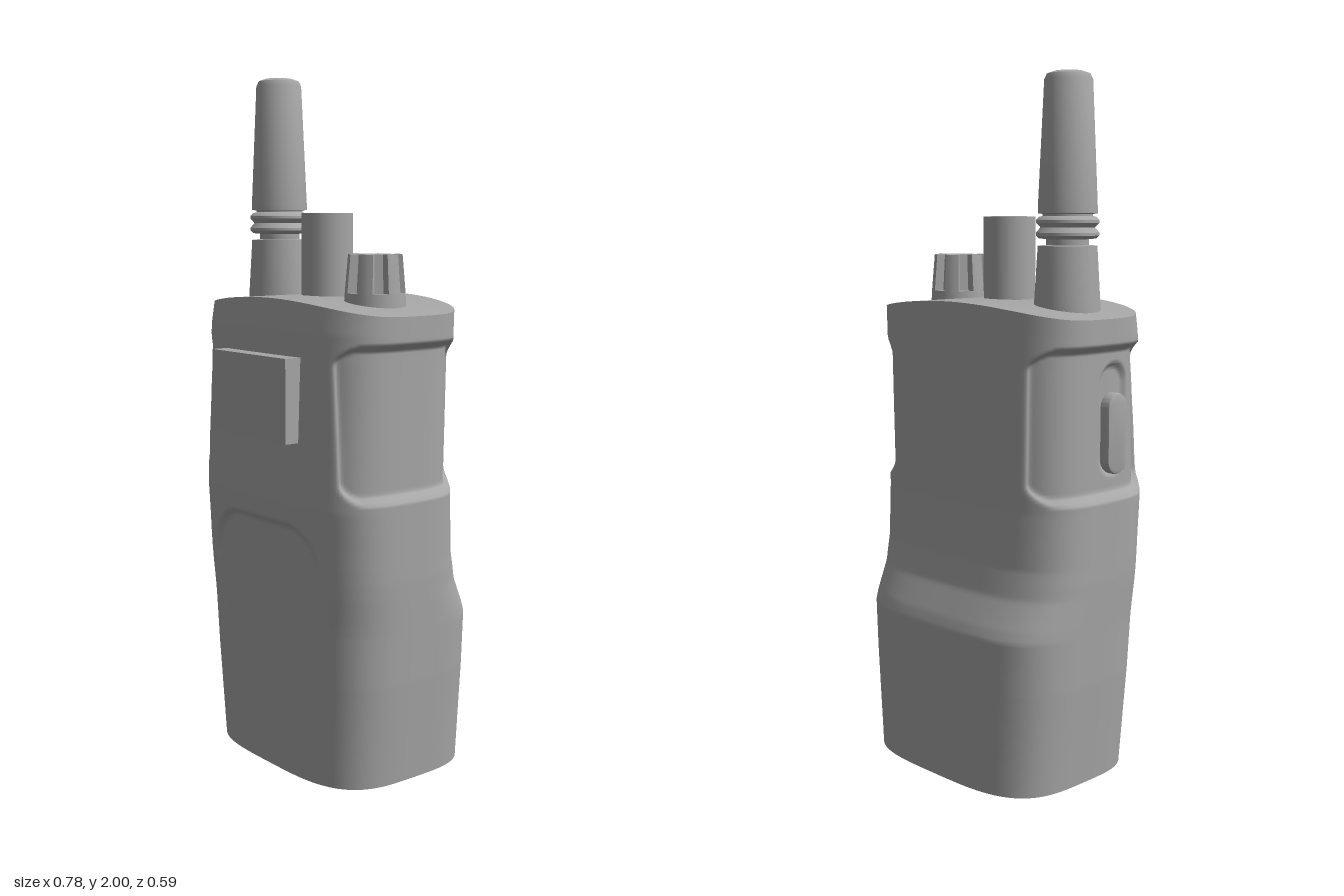
import * as THREE from 'three';
import { toCreasedNormals } from 'three/addons/utils/BufferGeometryUtils.js';

const grey = new THREE.MeshStandardMaterial({ color: 0xa6a6a6 });
grey.name = 'casing grey';

const { smoothstep, lerp, clamp } = THREE.MathUtils;
const TAU = Math.PI * 2;
const RIM = 1.33;

// Piecewise-linear profile lookup over [y, value] pairs
function profile(points, y) {
  for (let i = 1; i < points.length; i++) {
    const [y0, v0] = points[i - 1], [y1, v1] = points[i];
    if (y <= y1) return lerp(v0, v1, clamp((y - y0) / (y1 - y0), 0, 1));
  }
  return points[points.length - 1][1];
}
const halfWidth = [[0, 0.35], [0.3, 0.373], [0.6, 0.387], [0.82, 0.39], [1.33, 0.39]];
const frontZ = [[0, 0.235], [0.7, 0.26], [0.8, 0.265], [1.2, 0.25], [1.28, 0.243], [1.33, 0.232]];
const backZ = [[0, -0.295], [0.45, -0.298], [0.48, -0.287], [0.56, -0.247], [0.64, -0.23], [0.8, -0.222], [1.33, -0.225]];

// Signed distance to a rounded rectangle
function roundBox(u, v, hu, hv, r) {
  const a = Math.abs(u) - hu + r, b = Math.abs(v) - hv + r;
  return Math.hypot(Math.max(a, 0), Math.max(b, 0)) + Math.min(Math.max(a, b), 0) - r;
}
const inside = (d, soft) => 1 - smoothstep(d, -soft, 0);
const domeY = x => RIM + 0.04 * (1 - (x / 0.39) ** 2);

// Point on the casing wall, with side recesses, button pocket and front arch sunk in
function wall(y, angle) {
  const a = profile(halfWidth, y), f = profile(frontZ, y), b = profile(backZ, y);
  const depth = (f - b) / 2, n = 3.5;
  const c = Math.cos(angle) * a, s = Math.sin(angle) * depth;
  const r = (Math.abs(c / a) ** n + Math.abs(s / depth) ** n) ** (-1 / n);
  let x = c * r, z = s * r + (f + b) / 2;
  const x0 = x, z0 = z;
  let sink = 0.032 * inside(roundBox(z0 - 0.012, y - 1.04, 0.215, 0.217, 0.06), 0.02);
  if (x < 0) sink += 0.014 * inside(roundBox(z0 - 0.07, y - 1.045, 0.062, 0.16, 0.06), 0.014);
  if (Math.abs(x) > 0.2) x -= Math.sign(x) * sink;
  if (z > 0.1) {
    const w = lerp(0.205, 0.245, clamp((y - 0.1) / 0.5, 0, 1));
    const arch = roundBox(x0, y - 0.35, w, 0.4, 0.13);
    z -= 0.016 * smoothstep(y, 0.08, 0.7) * inside(arch, 0.018);
  }
  const lift = clamp((y - 1.27) / 0.06, 0, 1) * (domeY(x0) - RIM);
  return [x, y + lift, z];
}

// Closed rings of points joined into a surface
function loft(rows, cols, point) {
  const pos = [], index = [];
  for (let j = 0; j <= rows; j++)
    for (let i = 0; i < cols; i++) pos.push(...point(j / rows, (i / cols) * TAU));
  for (let j = 0; j < rows; j++)
    for (let i = 0; i < cols; i++) {
      const A = j * cols + i, B = j * cols + (i + 1) % cols, C = A + cols, D = B + cols;
      index.push(A, C, B, B, C, D);
    }
  const g = new THREE.BufferGeometry();
  g.setAttribute('position', new THREE.Float32BufferAttribute(pos, 3));
  g.setIndex(index);
  g.computeVertexNormals();
  return g;
}

export function createModel() {
  const model = new THREE.Group();
  model.name = 'handheldRadio';
  const add = (name, geometry, x = 0, y = 0, z = 0) => {
    const mesh = new THREE.Mesh(geometry, grey);
    mesh.name = name;
    mesh.position.set(x, y, z);
    model.add(mesh);
  };

  // Casing: wall, domed top and flat base
  const COLS = 240;
  add('casing', loft(160, COLS, (t, a) => wall(t * RIM, a)));
  add('casingTop', loft(8, COLS, (t, a) => {
    const [x, , z] = wall(RIM, a), s = Math.max(1 - t, 0.0001);
    return [x * s, domeY(x * s), z * s];
  }));
  add('casingBase', loft(1, COLS, (t, a) => {
    const [x, , z] = wall(0, a), s = Math.max(t, 0.0001);
    return [x * s, 0, z * s];
  }));

  // Raised plate on the upper front
  add('frontPlate', new THREE.BoxGeometry(0.35, 0.235, 0.08), -0.002, 1.098, 0.257);

  // Antenna with ribbed neck
  const antenna = [
    [0.094, 1.33], [0.092, 1.38], [0.083, 1.525], [0.06, 1.527], [0.06, 1.543],
    [0.08, 1.545], [0.088, 1.553], [0.088, 1.561], [0.08, 1.57], [0.076, 1.575],
    [0.08, 1.58], [0.088, 1.588], [0.088, 1.596], [0.08, 1.604], [0.07, 1.607],
    [0.07, 1.612], [0.083, 1.614], [0.083, 1.63], [0.067, 1.975], [0.06, 1.99],
    [0.04, 1.997], [0, 2],
  ].map(([r, y]) => new THREE.Vector2(r, y));
  add('antenna', toCreasedNormals(new THREE.LatheGeometry(antenna, 24), 0.7), -0.23, 0, 0.013);

  // Plain centre post
  add('centrePost', new THREE.CylinderGeometry(0.075, 0.075, 0.265, 24), 0, 1.4725, 0.013);

  // Fluted knob: collar plus a tapered six-lobed grip
  add('knobCollar', new THREE.CylinderGeometry(0.085, 0.088, 0.055, 30), 0.213, 1.3575, 0.013);
  const outline = [];
  for (let k = 0; k < 6; k++) {
    const notch = Math.PI / 6 + (k * TAU) / 6;
    for (const [da, r] of [[-0.27, 0.085], [-0.22, 0.058], [0.22, 0.058], [0.27, 0.085], [0.4, 0.085], [0.523, 0.085], [0.65, 0.085]])
      outline.push(new THREE.Vector2(Math.cos(notch + da) * r, Math.sin(notch + da) * r));
  }
  const grip = new THREE.ExtrudeGeometry(new THREE.Shape(outline), { depth: 0.11, bevelEnabled: false });
  const p = grip.attributes.position;
  for (let i = 0; i < p.count; i++) {
    const s = 1 - 0.11 * (p.getZ(i) / 0.11);
    p.setXY(i, p.getX(i) * s, p.getY(i) * s);
  }
  grip.rotateX(-Math.PI / 2);
  add('knobGrip', toCreasedNormals(grip, 0.5), 0.213, 1.382, 0.013);

  // Push-to-talk button in the side pocket
  const pill = new THREE.Shape();
  pill.absarc(0, 0.075, 0.032, 0, Math.PI);
  pill.absarc(0, -0.075, 0.032, Math.PI, TAU);
  const button = new THREE.ExtrudeGeometry(pill, {
    depth: 0.045, bevelThickness: 0.008, bevelSize: 0.008, bevelSegments: 2, curveSegments: 10,
  });
  button.rotateY(-Math.PI / 2);
  add('sideButton', toCreasedNormals(button, 0.6), -0.323, 1.005, 0.07);

  return model;
}
